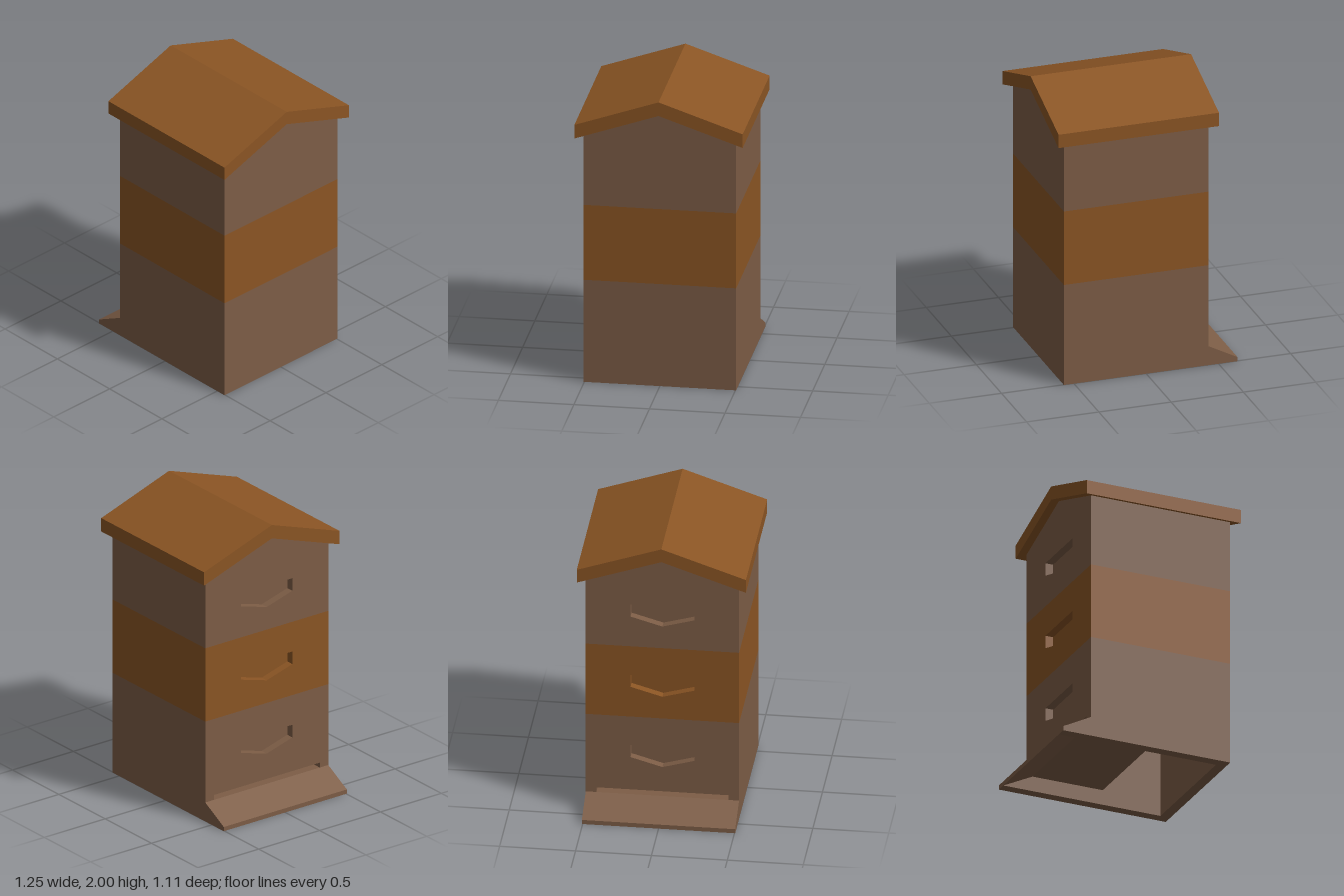
import * as THREE from 'three';

const BROWN = new THREE.MeshStandardMaterial({ color: 0x7d5d46 });
const AMBER = new THREE.MeshStandardMaterial({ color: 0x8b5524 });

// Body extents and wall thickness
const X0 = -0.43, X1 = 0.57, HZ = 0.505, T = 0.07, IZ = HZ - T;
const RECESS = 0.055;

function addMesh(parent, name, geometry, material) {
  const mesh = new THREE.Mesh(geometry, material);
  mesh.name = name;
  parent.add(mesh);
  return mesh;
}

const toShape = (pts) => new THREE.Shape(pts.map(([a, b]) => new THREE.Vector2(a, b)));

// Symmetric (z, y) outline extruded from x = a to x = b
function extrudeAlongX(shape, a, b) {
  return new THREE.ExtrudeGeometry(shape, { depth: b - a, bevelEnabled: false })
    .rotateY(Math.PI / 2).translate(a, 0, 0);
}

// (x, y) outline extruded from z = a to z = b
function extrudeAlongZ(pts, a, b) {
  return new THREE.ExtrudeGeometry(toShape(pts), { depth: b - a, bevelEnabled: false })
    .translate(0, 0, a);
}

// Hand grip outline: flat top, shallow V below
function gripHole(y) {
  return new THREE.Path([[-0.21, y], [0.21, y], [0.21, y - 0.09], [0, y - 0.15], [-0.21, y - 0.09]]
    .map(([a, b]) => new THREE.Vector2(a, b)));
}

// One hollow box of the stack: four walls, with a grip recess on the -x wall
function hiveBox(name, y0, y1, gripY, material, { gable = 0, entrance = 0 } = {}) {
  const box = new THREE.Group();
  box.name = name;
  const top = [[HZ, y1], ...(gable ? [[0, gable]] : []), [-HZ, y1]];
  const plain = [[-HZ, y0], [HZ, y0], ...top];
  const front = entrance
    ? [[-HZ, y0], [-IZ, y0], [-IZ, entrance], [IZ, entrance], [IZ, y0], [HZ, y0], ...top]
    : plain;

  const outer = toShape(front);
  outer.holes.push(gripHole(gripY));
  addMesh(box, 'gripWallOuter', extrudeAlongX(outer, X0, X0 + RECESS), material);
  addMesh(box, 'gripWallInner', extrudeAlongX(toShape(front), X0 + RECESS, X0 + T), material);
  addMesh(box, 'plainEndWall', extrudeAlongX(toShape(plain), X1 - T, X1), material);

  for (const s of [-1, 1]) {
    const side = new THREE.BoxGeometry(X1 - X0 - 2 * T, y1 - y0, T);
    addMesh(box, s > 0 ? 'frontWall' : 'backWall', side, material)
      .position.set((X0 + X1) / 2, (y0 + y1) / 2, s * (HZ - T / 2));
  }
  return box;
}

export function createModel() {
  const hive = new THREE.Group();
  hive.name = 'beehive';

  // Stacked boxes
  const lower = hiveBox('lowerBox', 0, 0.712, 0.5, BROWN, { entrance: 0.17 });
  hive.add(lower);
  hive.add(hiveBox('middleBox', 0.712, 1.235, 1.023, AMBER));
  hive.add(hiveBox('upperBox', 1.235, 1.733, 1.546, BROWN, { gable: 1.905 }));

  // Landing board: sloped outside, level shelf inside
  addMesh(lower, 'landingBoard', extrudeAlongZ([
    [-0.63, 0], [-0.42, 0.105], [0.085, 0.105], [0.085, 0.135], [X0, 0.135], [-0.63, 0.03],
  ], -IZ, IZ), BROWN);

  // Cheeks closing the sides of the landing board
  for (const z of [-HZ, IZ]) {
    addMesh(lower, 'landingCheek', extrudeAlongZ(
      [[-0.63, 0], [X0, 0], [X0, 0.135], [-0.63, 0.03]], z, z + T), BROWN);
  }

  // Gabled roof
  const roof = toShape([
    [-0.557, 1.715], [0, 1.905], [0.557, 1.715], [0.557, 1.81], [0, 2], [-0.557, 1.81],
  ]);
  addMesh(hive, 'roof', extrudeAlongX(roof, -0.485, 0.625), AMBER);

  return hive;
}
